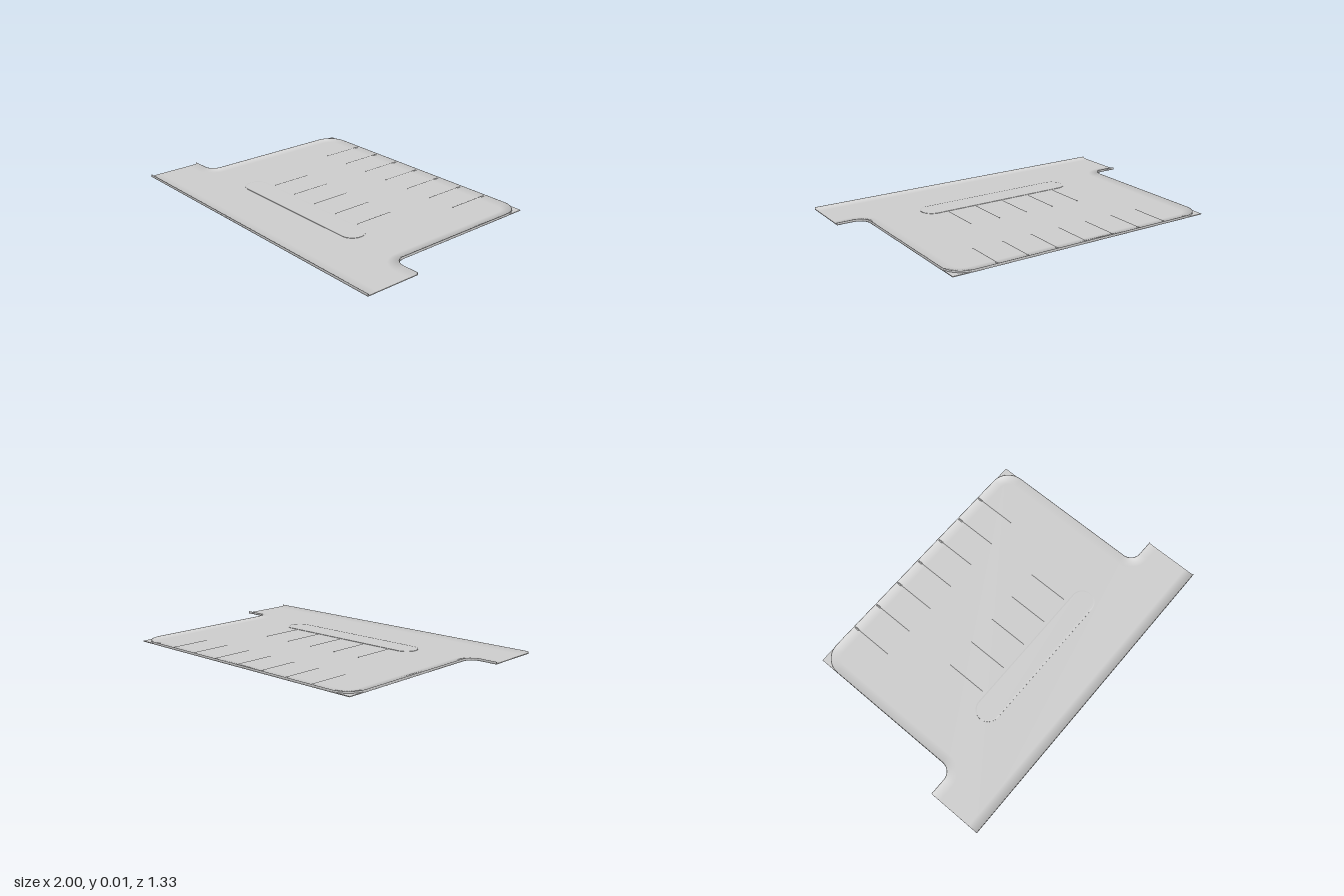
import * as THREE from 'three';

const FLOOR = 0.005, LIP = 0.014;
const BACK = -0.667, FRONT = 0.665, SIDE = 0.83, WING = 0.335;
const FILLET = 0.07, CORNER = 0.12;

// Lip cross-section: [inset, y, inward normal, upward normal]
const lipProfile = [
  [0.06, FLOOR, 0, 1],
  [0.006, FLOOR, 0.6, 0.8],
  [0.003, LIP, 0.6, 0.8],
  [0, LIP, -0.6, 0.8],
  [0, 0, -0.6, -0.8],
  [0.06, 0, 0, -1],
];

// Points { x, z, nx, nz } on an arc; sign picks which side is inward
function arc(cx, cz, r, from, to, sign, steps = 14) {
  return Array.from({ length: steps + 1 }, (_, i) => {
    const a = from + (to - from) * i / steps, c = Math.cos(a), s = Math.sin(a);
    return { x: cx + r * c, z: cz + r * s, nx: sign * c, nz: sign * s };
  });
}

// Sweeps the lip profile along a path with its own inward directions
function sweepLip(path) {
  const pos = [], nor = [], idx = [], n = lipProfile.length;
  path.forEach((p, i) => {
    lipProfile.forEach(([inset, y, ni, ny], j) => {
      pos.push(p.x + p.nx * inset, y, p.z + p.nz * inset);
      nor.push(p.nx * ni, ny, p.nz * ni);
      if (i < path.length - 1 && j < n - 1) {
        const a = i * n + j, b = a + 1, d = a + n, c = d + 1;
        idx.push(a, b, c, a, c, d);
      }
    });
  });
  const g = new THREE.BufferGeometry();
  g.setAttribute('position', new THREE.Float32BufferAttribute(pos, 3));
  g.setAttribute('normal', new THREE.Float32BufferAttribute(nor, 3));
  g.setIndex(idx);
  return g;
}

// Extrudes a plan outline (x, z) upwards from y0
function slab(shape, y0, depth, options = {}) {
  const g = new THREE.ExtrudeGeometry(shape, { depth, bevelEnabled: false, curveSegments: 16, ...options });
  g.rotateX(Math.PI / 2);
  g.computeBoundingBox();
  g.translate(0, y0 - g.boundingBox.min.y, 0);
  return g;
}

export function createModel() {
  const group = new THREE.Group();
  const material = new THREE.MeshStandardMaterial({ color: 0xcccccc, side: THREE.DoubleSide });
  const add = (name, geometry) => {
    const mesh = new THREE.Mesh(geometry, material);
    mesh.name = name;
    group.add(mesh);
    return mesh;
  };

  // Right half of the lip path, from the wing tip round to the back edge
  const half = [
    { x: 1, z: WING, nx: 0, nz: 1 },
    ...arc(SIDE + FILLET, WING - FILLET, FILLET, Math.PI / 2, Math.PI, 1),
    ...arc(SIDE - CORNER, BACK + CORNER, CORNER, 0, -Math.PI / 2, -1),
  ];
  const mirrored = half.map(p => ({ ...p, x: -p.x, nx: -p.nx })).reverse();

  // Floor panel, with square back corners outside the rounded lip
  const right = [
    [1, FRONT], [1, WING],
    ...half.slice(1, 16).map(p => [p.x, p.z]),
    [SIDE, BACK],
  ];
  const outline = [...right, ...right.map(([x, z]) => [-x, z]).reverse()];
  const floorShape = new THREE.Shape(outline.map(([x, z]) => new THREE.Vector2(x, z)));
  add('floorPanel', slab(floorShape, 0.0003, FLOOR - 0.0006));

  // Raised lips
  add('backAndSideLip', sweepLip([...half, ...mirrored]));
  add('frontLip', sweepLip([-1, 1].map(x => ({ x, z: FRONT, nx: 0, nz: -1 }))));

  // Long embossed pad with rounded ends
  const r = 0.0655, hx = 0.4325, cz = 0.2625;
  const pad = new THREE.Shape();
  pad.absarc(hx, cz, r, -Math.PI / 2, Math.PI / 2);
  pad.absarc(-hx, cz, r, Math.PI / 2, Math.PI * 1.5);
  pad.closePath();
  add('embossedPad', slab(pad, 0, 0.006, {
    bevelEnabled: true, bevelSize: 0.007, bevelThickness: 0.001, bevelSegments: 1,
  }));

  // Two rows of fine ribs
  const ribSection = new THREE.Shape([[-0.005, 0], [0.005, 0], [0, 0.003]].map(p => new THREE.Vector2(...p)));
  const ribRow = (name, count, z0, z1) => {
    const geometry = new THREE.ExtrudeGeometry(ribSection, { depth: z1 - z0, bevelEnabled: false });
    for (let i = -count; i <= count; i++) {
      add(name, geometry).position.set(i * 0.186, FLOOR, z0);
    }
  };
  ribRow('backRib', 3, BACK + 0.004, -0.4);
  ribRow('middleRib', 2, -0.08, 0.17);

  return group;
}
